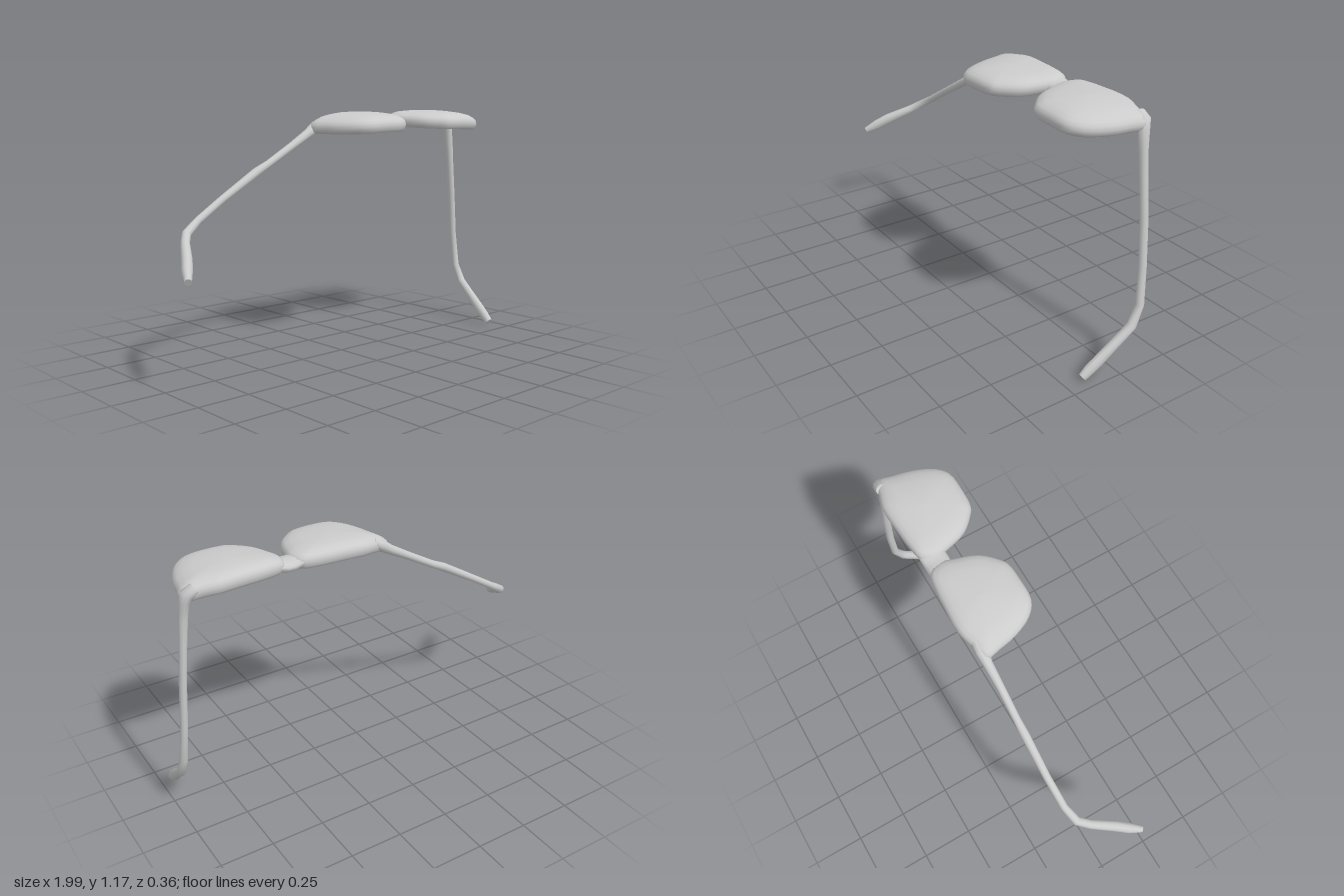
import * as THREE from 'three';

const material = new THREE.MeshStandardMaterial({ color: 0xcccccc });
const MID = 0.415; // x of the plane between the two lenses

// Closed-ring loft: each ring is an array of Vector3, joined to the next
function loft(name, rings) {
  const n = rings[0].length, pos = [], index = [];
  rings.forEach(r => r.forEach(p => pos.push(p.x, p.y, p.z)));
  for (let i = 0; i < rings.length - 1; i++) {
    for (let j = 0; j < n; j++) {
      const k = (j + 1) % n;
      const a = i * n + j, b = (i + 1) * n + j, c = (i + 1) * n + k, d = i * n + k;
      index.push(a, d, c, a, c, b);
    }
  }
  const g = new THREE.BufferGeometry();
  g.setAttribute('position', new THREE.Float32BufferAttribute(pos, 3));
  g.setIndex(index);
  g.computeVertexNormals();
  const mesh = new THREE.Mesh(g, material);
  mesh.name = name;
  return mesh;
}

// Tapered bar through stations [x, y, z, radius along u, radius along v]
function bar(name, stations, up, sides = 10) {
  const pts = stations.map(s => new THREE.Vector3(s[0], s[1], s[2]));
  const rings = pts.map((p, i) => {
    const t = pts[Math.min(i + 1, pts.length - 1)].clone().sub(pts[Math.max(i - 1, 0)]).normalize();
    const u = up.clone().addScaledVector(t, -up.dot(t)).normalize();
    const v = t.clone().cross(u);
    const [, , , ru, rv = ru] = stations[i];
    return Array.from({ length: sides }, (_, j) => {
      const a = (j / sides) * Math.PI * 2;
      return p.clone().addScaledVector(u, ru * Math.cos(a)).addScaledVector(v, rv * Math.sin(a));
    });
  });
  // doubled end rings keep the end caps crisp
  const first = rings[0], last = rings[rings.length - 1];
  const cap = p => first.map(() => p.clone());
  return loft(name, [cap(pts[0]), first, ...rings, last, cap(pts[pts.length - 1])]);
}

// Lens outline in x, z
const outline = [
  [-0.085, -0.13], [0, -0.163], [0.07, -0.182], [0.2, -0.178], [0.31, -0.168], [0.375, -0.15],
  [0.4, -0.09], [0.385, -0.02], [0.35, 0.08], [0.29, 0.145], [0.25, 0.172], [0.15, 0.18],
  [0.05, 0.173], [-0.01, 0.125], [-0.055, 0.03], [-0.075, -0.06],
];
// Lens cross-section from the top centre over the rim to the hollow underside: [scale, height]
const section = [
  [0, 0.046], [0.3, 0.045], [0.6, 0.041], [0.8, 0.034], [0.92, 0.022], [0.98, 0.01], [1, -0.007],
  [0.98, -0.025], [0.93, -0.038], [0.86, -0.038], [0.76, -0.018], [0.4, 0.002], [0, 0.006],
];

function lens(name, mirrored) {
  let corners = outline.map(([x, z]) => new THREE.Vector3(mirrored ? 2 * MID - x : x, 0, z));
  if (mirrored) corners.reverse();
  const edge = new THREE.CatmullRomCurve3(corners, true, 'centripetal').getPoints(48).slice(0, -1);
  const cx = mirrored ? 2 * MID - 0.16 : 0.16, cz = -0.02;
  return loft(name, section.map(([s, h]) => edge.map(e => {
    const x = cx + (e.x - cx) * s, z = cz + (e.z - cz) * s;
    // the lens bends down toward its outer side and its lower edge
    const out = Math.max(0, Math.abs(x - MID) - 0.25) / 0.25;
    return new THREE.Vector3(x, 1.117 + (mirrored ? 0.005 : 0) - 0.05 * z - 0.026 * out * out + h, z);
  })));
}

export function createModel() {
  const group = new THREE.Group();
  group.name = 'sunglasses';

  group.add(lens('rightLens', false), lens('leftLens', true));

  // Nose bridge
  group.add(bar('bridge', [
    [0.31, 1.125, -0.105, 0.024, 0.055], [0.36, 1.116, -0.1, 0.027, 0.058],
    [0.395, 1.106, -0.096, 0.028, 0.06], [0.435, 1.106, -0.096, 0.028, 0.06],
    [0.47, 1.116, -0.1, 0.027, 0.058], [0.52, 1.128, -0.105, 0.024, 0.055],
  ], new THREE.Vector3(0, 1, 0), 14));

  // Splayed arm, with its hinge end first
  group.add(bar('rightArm', [
    [0.0, 1.115, -0.13, 0.026, 0.03], [-0.05, 1.092, -0.133, 0.028, 0.03],
    [-0.1, 1.06, -0.133, 0.023], [-0.2, 1.005, -0.13, 0.019],
    [-0.34, 0.927, -0.13, 0.018], [-0.41, 0.893, -0.13, 0.021],
    [-0.6, 0.783, -0.127, 0.018], [-0.74, 0.698, -0.118, 0.018],
    [-0.815, 0.65, -0.095, 0.021], [-0.855, 0.617, -0.045, 0.021],
    [-0.915, 0.565, 0.06, 0.028, 0.024], [-0.95, 0.53, 0.115, 0.027, 0.024],
    [-0.98, 0.497, 0.168, 0.018, 0.016],
  ], new THREE.Vector3(0, 1, 0.3).normalize()));

  // Near-straight arm
  group.add(bar('leftArm', [
    [0.855, 1.125, -0.135, 0.024, 0.03], [0.89, 1.105, -0.133, 0.028, 0.032],
    [0.903, 1.065, -0.125, 0.022, 0.027], [0.912, 0.99, -0.121, 0.021],
    [0.925, 0.87, -0.122, 0.018, 0.02], [0.943, 0.7, -0.124, 0.017, 0.02],
    [0.958, 0.48, -0.122, 0.017, 0.019], [0.972, 0.3, -0.11, 0.019],
    [0.975, 0.21, -0.068, 0.022], [0.965, 0.145, 0.01, 0.022, 0.023],
    [0.953, 0.077, 0.09, 0.022, 0.028], [0.946, 0.046, 0.13, 0.022, 0.026],
    [0.943, 0.019, 0.163, 0.018, 0.021],
  ], new THREE.Vector3(1, 0, 0)));

  return group;
}
